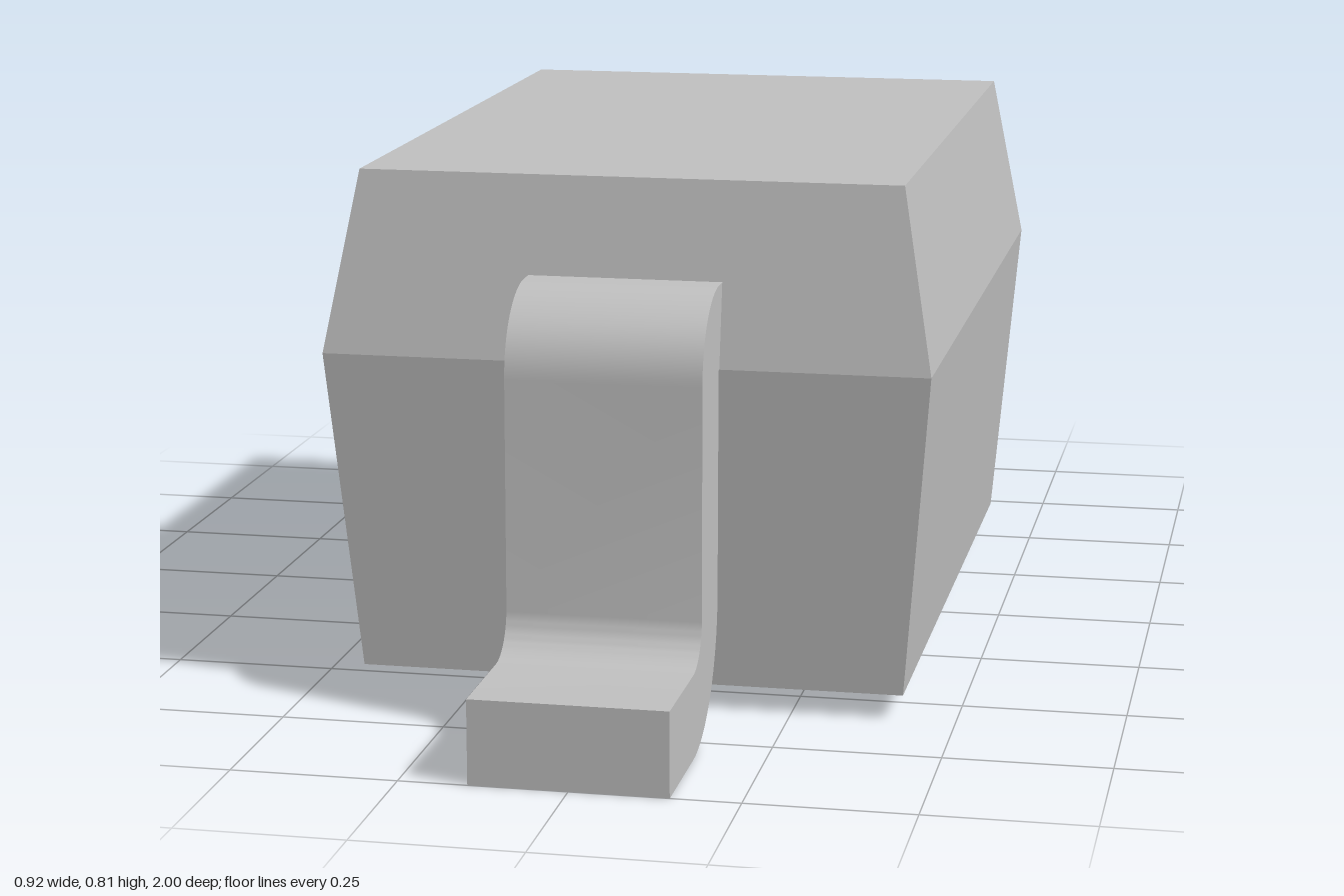
import * as THREE from 'three';
import { toCreasedNormals } from 'three/addons/utils/BufferGeometryUtils.js';

const grey = new THREE.MeshStandardMaterial({ color: 0xc0c0c0 });
grey.name = 'grey';

// Moulded block: three rectangles [y, half width, half depth], widest at the parting line
function bodyGeometry() {
  const sections = [[0.04, 0.42, 0.585], [0.54, 0.462, 0.63], [0.815, 0.413, 0.58]];
  const corners = [[1, 1], [1, -1], [-1, -1], [-1, 1]];
  const positions = [];
  for (const [y, w, d] of sections) {
    for (const [sx, sz] of corners) positions.push(sx * w, y, sz * d);
  }
  const index = [];
  const quad = (a, b, c, d) => index.push(a, b, c, a, c, d);
  for (let s = 0; s < 2; s++) {
    for (let i = 0; i < 4; i++) {
      const a = s * 4 + i, b = s * 4 + (i + 1) % 4;
      quad(a, b, b + 4, a + 4);
    }
  }
  quad(8, 9, 10, 11);
  quad(3, 2, 1, 0);
  const indexed = new THREE.BufferGeometry();
  indexed.setAttribute('position', new THREE.Float32BufferAttribute(positions, 3));
  indexed.setIndex(index);
  const geometry = indexed.toNonIndexed();
  geometry.computeVertexNormals();
  return geometry;
}

// Bent strip: side profile in (z, y), extruded across x
function leadGeometry() {
  const width = 0.294;
  const p = new THREE.Shape();
  p.moveTo(1, 0.002);
  p.lineTo(1, 0.13);
  p.lineTo(0.83, 0.13);
  p.bezierCurveTo(0.793, 0.13, 0.764, 0.16, 0.763, 0.198);
  p.lineTo(0.76, 0.54);
  p.bezierCurveTo(0.76, 0.61, 0.703, 0.667, 0.63, 0.667);
  p.lineTo(0.57, 0.667);
  p.lineTo(0.57, 0.54);
  p.lineTo(0.635, 0.54);
  p.lineTo(0.642, 0.198);
  p.bezierCurveTo(0.644, 0.09, 0.73, 0.002, 0.83, 0.002);
  p.closePath();
  const geometry = new THREE.ExtrudeGeometry(p, { depth: width, bevelEnabled: false, curveSegments: 16 });
  geometry.translate(0, 0, -width / 2);
  geometry.rotateY(-Math.PI / 2);
  return toCreasedNormals(geometry, 0.5);
}

export function createModel() {
  const model = new THREE.Group();
  model.name = 'twoLeadComponent';

  const body = new THREE.Mesh(bodyGeometry(), grey);
  body.name = 'body';
  model.add(body);

  // Matching leads at the front and back
  const lead = leadGeometry();
  ['frontLead', 'backLead'].forEach((name, i) => {
    const mesh = new THREE.Mesh(lead, grey);
    mesh.name = name;
    mesh.rotation.y = i * Math.PI;
    model.add(mesh);
  });
  return model;
}
